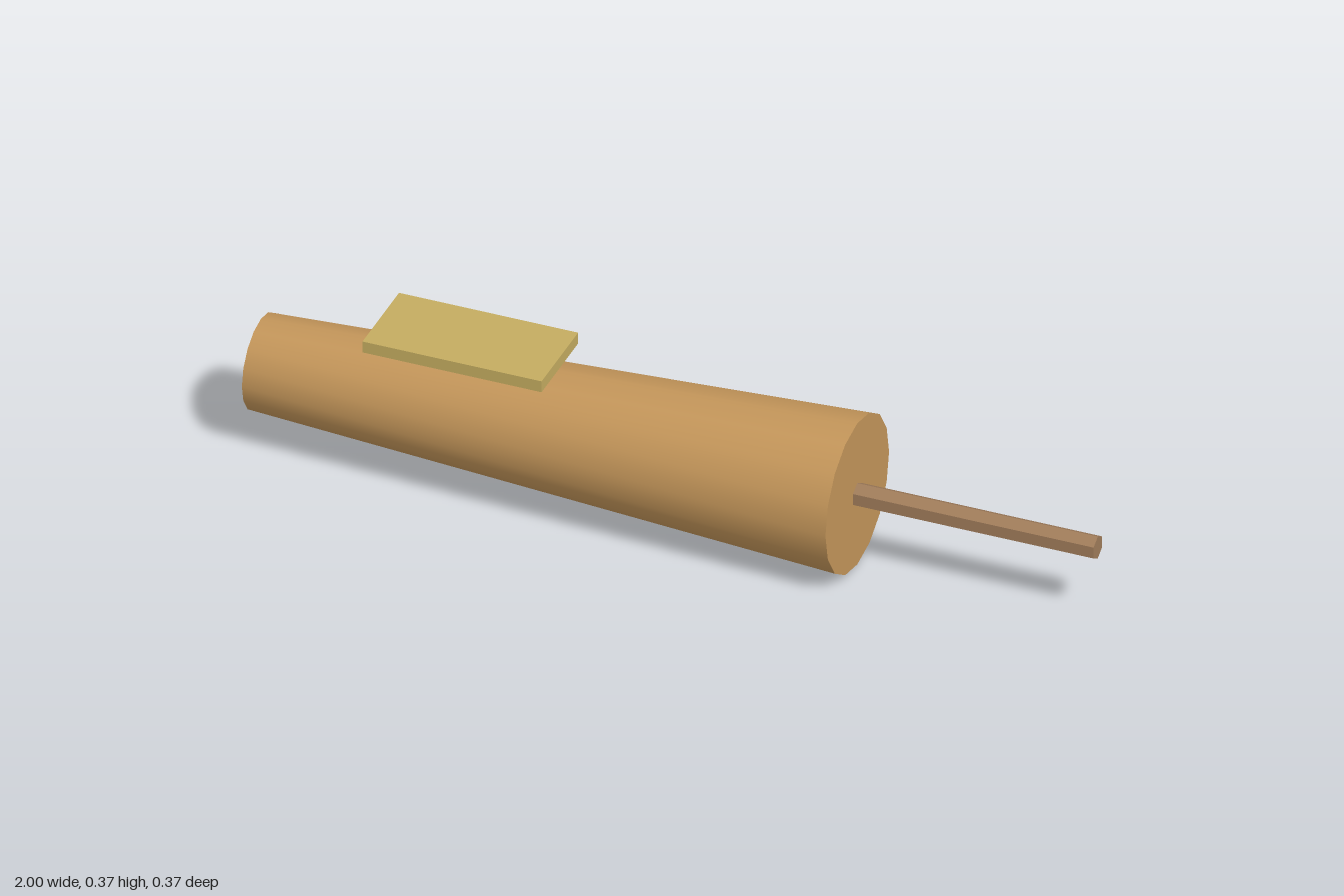
import * as THREE from 'three';

export function createModel() {
  const group = new THREE.Group();
  const bodyMat = new THREE.MeshStandardMaterial({ color: 0xc4965a });
  bodyMat.name = 'tan';
  const rodMat = new THREE.MeshStandardMaterial({ color: 0xa07c5a });
  rodMat.name = 'brown';
  const plateMat = new THREE.MeshStandardMaterial({ color: 0xc4ac60 });
  plateMat.name = 'straw';

  const axisY = 0.187;
  const add = (name, geometry, material, x, y) => {
    const mesh = new THREE.Mesh(geometry, material);
    mesh.name = name;
    mesh.position.set(x, y, 0);
    group.add(mesh);
  };
  // Cylinder lying along x, with a corner at the top
  const lyingCylinder = (rightR, leftR, length, sides) =>
    new THREE.CylinderGeometry(rightR, leftR, length, sides).rotateY(Math.PI / 2).rotateZ(-Math.PI / 2);

  // Tapered body, wide end at +x
  add('body', lyingCylinder(0.186, 0.112, 1.425, 16), bodyMat, -0.2875, axisY);

  // Thin faceted rod
  const rod = lyingCylinder(0.0286, 0.0286, 0.575, 6).toNonIndexed();
  rod.computeVertexNormals();
  add('rod', rod, rodMat, 0.7125, axisY);

  // Flat plate above the narrow end
  add('topPlate', new THREE.BoxGeometry(0.428, 0.0286, 0.214), plateMat, -0.5, 0.359);

  return group;
}
